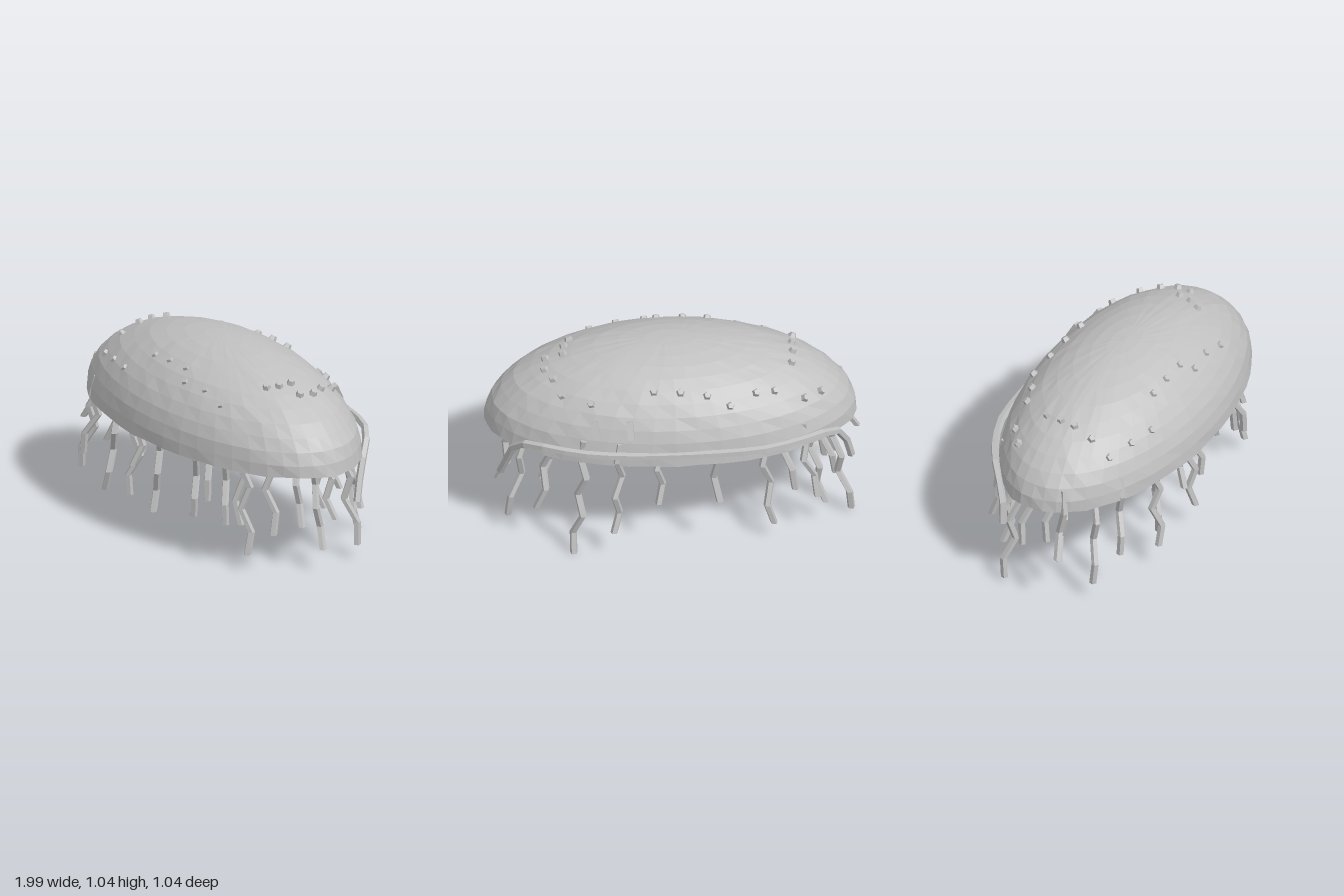
import * as THREE from 'three';

// bell centre, radii, rim height and dome height
const CX = 0.012, CZ = 0.012, RX = 0.982, RZ = 0.516, BASE = 0.574, H = 0.472;

// small seeded random, -1..1
let seed = 7;
const rnd = () => {
  seed = (seed * 16807) % 2147483647;
  return (seed / 2147483647) * 2 - 1;
};

export function createModel() {
  seed = 7;
  const model = new THREE.Group();
  model.name = 'jellyfish';
  const grey = new THREE.MeshStandardMaterial({ color: 0xc0c0c0, flatShading: true, side: THREE.DoubleSide });
  grey.name = 'grey';
  const add = (geo, name, parent = model) => {
    const mesh = new THREE.Mesh(geo, grey);
    mesh.name = name;
    parent.add(mesh);
    return mesh;
  };
  const group = (name) => {
    const g = new THREE.Group();
    g.name = name;
    model.add(g);
    return g;
  };

  // hollow bell: half ellipsoid with a slightly uneven surface and rim
  const cols = 48, rows = 11;
  const bell = new THREE.SphereGeometry(1, cols, rows, 0, Math.PI * 2, 0, Math.PI / 2);
  const p = bell.attributes.position;
  for (let r = 0; r <= rows; r++) {
    const first = [];
    for (let c = 0; c <= cols; c++) {
      const i = r * (cols + 1) + c;
      const k = 1 + 0.005 * rnd() * Math.min(1, r / 5);
      const v = [
        CX + p.getX(i) * RX * k,
        BASE + p.getY(i) * H * k + (r === rows ? 0.006 * rnd() : 0),
        CZ + p.getZ(i) * RZ * k,
      ];
      if (c === 0) first.push(...v);
      p.setXYZ(i, ...(c === cols ? first : v));
    }
  }
  add(bell, 'bell');

  // tentacles, given by their tips; the roots sit inside the bell
  const tentacles = group('tentacles');
  const tips = [
    [-0.98, 0.31, 0.18], [-0.93, 0.03, -0.17], [-0.83, 0.11, 0.31], [-0.79, 0.14, -0.26], [-0.7, 0.25, 0.4],
    [-0.62, 0.33, -0.4], [-0.51, 0.1, -0.38], [-0.42, 0.15, 0.47], [-0.3, 0.14, 0.4], [-0.22, 0.3, -0.45],
    [-0.17, 0.37, 0.48], [-0.02, 0.15, 0.46], [0.1, 0.28, -0.42], [0.2, 0.17, 0.36], [0.34, 0.16, -0.5],
    [0.42, 0.35, 0.44], [0.5, 0.2, 0.28], [0.55, 0.01, -0.46], [0.66, 0.1, 0.36], [0.74, 0.22, -0.33],
    [0.78, 0.23, 0.28], [0.82, 0.25, 0.12], [0.88, 0.09, -0.2], [0.92, 0.14, 0.06], [0.9, 0.28, -0.04],
    [-0.85, 0.22, -0.11], [-0.86, 0.2, 0.12], [-0.8, 0.25, 0.01], [-0.74, 0.25, -0.36], [0.55, 0.25, 0.42],
    [0.7, 0.26, -0.12],
  ];
  tips.forEach(([tipX, tipY, tipZ], n) => {
    const top = 0.7, length = top - tipY;
    const steps = Math.round(length / 0.115);
    const flip = n % 3 === 2 ? -1 : 1;
    // bend a five-sided rod into a zigzag that spreads outward
    const knees = [];
    for (let k = 0; k <= steps; k++) {
      const t = k / steps, spread = 0.9 + 0.1 * t * t;
      const zig = k === 0 || k === steps ? 0 : (k % 2 ? -0.018 : 0.018) * flip;
      knees.push([tipX * spread + zig, tipZ * spread + zig * (n % 2 ? 1 : -1)]);
    }
    const geo = new THREE.CylinderGeometry(0.02, 0.02, length, 5, steps);
    const q = geo.attributes.position;
    for (let i = 0; i < q.count; i++) {
      const [kx, kz] = knees[Math.round((0.5 - q.getY(i) / length) * steps)];
      q.setXYZ(i, q.getX(i) + kx, q.getY(i) + (top + tipY) / 2, q.getZ(i) + kz);
    }
    add(geo, 'tentacle', tentacles);
  });

  // cord lying along the back of the rim, both ends hanging down
  const cordPath = [
    [0.92, 0.35, -0.17], [0.88, 0.48, -0.22], [0.84, 0.6, -0.28], [0.74, 0.645, -0.37], [0.5, 0.645, -0.46],
    [0.25, 0.64, -0.49], [0, 0.64, -0.497], [-0.25, 0.64, -0.49], [-0.47, 0.64, -0.465],
    [-0.72, 0.63, -0.355], [-0.84, 0.6, -0.26], [-0.9, 0.5, -0.2], [-0.93, 0.38, -0.18],
  ].map((a) => new THREE.Vector3(...a));
  add(new THREE.TubeGeometry(new THREE.CatmullRomCurve3(cordPath), 20, 0.021, 5), 'rimCord');

  // warts standing out of the bell, given as x, z
  const warts = group('warts');
  const spots = [
    [0.64, -0.14], [0.68, -0.06], [0.67, 0.02], [0.58, 0.01], [0.57, 0.08], [0.54, 0.14],
    [-0.62, -0.09], [-0.63, 0], [-0.63, 0.08], [-0.64, 0.19], [-0.77, -0.18], [-0.68, -0.25],
    [-0.64, 0.3], [-0.5, 0.35], [-0.36, 0.39], [-0.2, 0.31], [-0.07, 0.31], [0.07, 0.31],
    [0.13, 0.365], [0.28, 0.345], [0.42, 0.35], [-0.52, -0.27], [-0.42, -0.3], [-0.28, -0.37],
    [-0.16, -0.34], [-0.02, -0.33], [0.12, -0.32], [0.45, -0.32], [0.6, -0.24],
  ];
  const up = new THREE.Vector3(0, 1, 0);
  const place = (mesh, x, z, lift) => {
    const dx = (x - CX) / RX, dz = (z - CZ) / RZ, dy = Math.sqrt(1 - dx * dx - dz * dz);
    const normal = new THREE.Vector3(dx / RX, dy / H, dz / RZ).normalize();
    mesh.position.set(x, BASE + H * dy, z).addScaledVector(normal, lift);
    mesh.quaternion.setFromUnitVectors(up, normal);
  };
  spots.forEach(([x, z]) => {
    const lift = z > 0.25 ? 0 : 0.008;
    place(add(new THREE.CylinderGeometry(0.017, 0.025, 0.028, 5), 'wart', warts), x, z, lift);
  });

  // two short ridges on the back slope
  [[0.25, -0.44], [0.43, -0.41]].forEach(([x, z]) => {
    place(add(new THREE.BoxGeometry(0.035, 0.025, 0.1), 'ridge', warts), x, z, 0.006);
  });

  return model;
}
